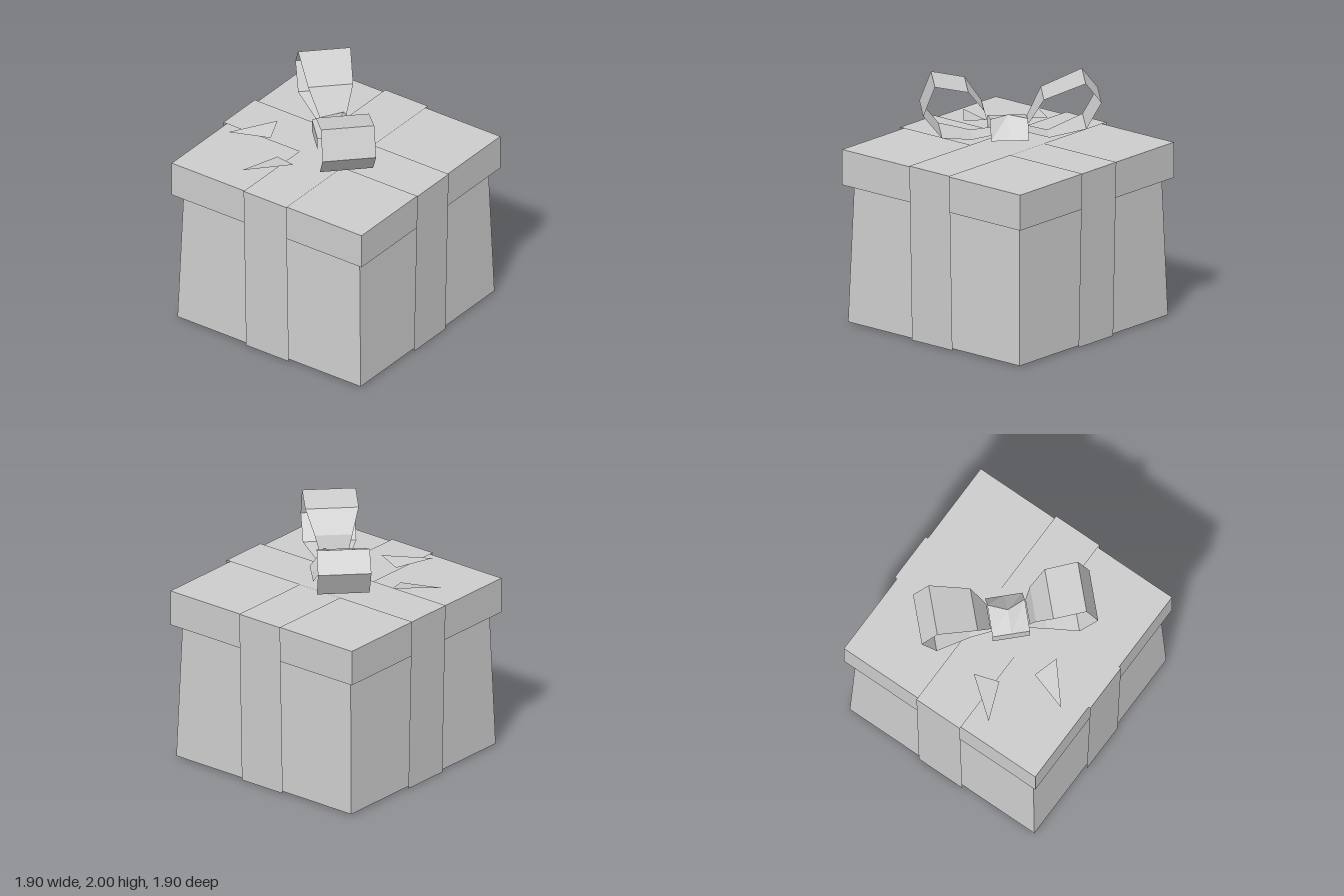
import * as THREE from 'three';

const grey = new THREE.MeshStandardMaterial({ color: 0xcccccc, side: THREE.DoubleSide });
grey.name = 'paper grey';

// Faceted sheet through rows of [x, y, z] points, all rows equally long
function sheet(name, rows) {
  const pos = [];
  for (let i = 0; i < rows.length - 1; i++) {
    for (let j = 0; j < rows[i].length - 1; j++) {
      const a = rows[i][j], b = rows[i][j + 1], c = rows[i + 1][j + 1], d = rows[i + 1][j];
      pos.push(...a, ...b, ...c, ...a, ...c, ...d);
    }
  }
  return facets(name, pos);
}

function facets(name, pos) {
  const geo = new THREE.BufferGeometry();
  geo.setAttribute('position', new THREE.Float32BufferAttribute(pos, 3));
  geo.computeVertexNormals();
  const mesh = new THREE.Mesh(geo, grey);
  mesh.name = name;
  return mesh;
}

// Closed square ring of half-width h at height y
const ring = (h, y) => [[h, y, h], [h, y, -h], [-h, y, -h], [-h, y, h], [h, y, h]];

// Diagonal bow frame: u runs along the bow (+x +z), v across it (+x -z)
const diag = (u, y, v) => [(u + v) * Math.SQRT1_2, y, (u - v) * Math.SQRT1_2];

// Ribbon loop from [u, y, halfWidth] stations
const loop = (name, stations) =>
  sheet(name, stations.map(([u, y, w]) => [diag(u, y, w), diag(u, y, -w)]));

export function createModel() {
  const model = new THREE.Group();
  model.name = 'giftBox';

  // Tapered box, open underneath
  model.add(sheet('body', [ring(0.895, 0.01), ring(0.852, 1.42)]));

  // Lid: a skirt and a flat top, open underneath
  model.add(sheet('lid', [ring(0.928, 1.143), ring(0.928, 1.436), ring(0, 1.436)]));

  // Two crossing ribbons, each draped over the lid and down both sides
  const drape = (top) => [[-0.915, 0.003], [-0.948, top], [0.948, top], [0.915, 0.003]];
  model.add(sheet('ribbonFrontToBack',
    drape(1.445).map(([s, y]) => [[-0.21, y, s], [0.207, y, s]])));
  model.add(sheet('ribbonSideToSide',
    drape(1.45).map(([s, y]) => [[s, y, 0.21], [s, y, -0.21]])));

  // Bow loops
  const bow = new THREE.Group();
  bow.name = 'bow';
  bow.add(loop('frontLoop', [
    [0.13, 1.56, 0.11], [0.29, 1.535, 0.134], [0.537, 1.575, 0.212], [0.686, 1.76, 0.215],
    [0.594, 2.0, 0.213], [0.329, 1.95, 0.212], [0.2, 1.775, 0.15], [0.156, 1.615, 0.106]]));
  bow.add(loop('backLoop', [
    [-0.13, 1.58, 0.1], [-0.32, 1.53, 0.106], [-0.605, 1.625, 0.209], [-0.725, 1.84, 0.212],
    [-0.6, 2.0, 0.21], [-0.272, 1.865, 0.18], [-0.155, 1.65, 0.106]]));

  // Knot: a folded strip across the bow with a pinched ridge
  const knotRows = [[-0.17, 1.54, 0, 0], [-0.17, 1.64, 0, 0], [0.014, 1.7, 0.071, -0.015], [0.195, 1.537, 0, 0]];
  bow.add(sheet('knot', knotRows.map(([v, y, dv, dy]) =>
    [diag(-0.152, y + dy, v + dv), diag(0, y, v), diag(0.148, y + dy, v + dv)])));

  // Ribbon tail tips
  bow.add(facets('leftTail', [-0.25, 1.5, 0.44, -0.355, 1.5, 0.77, -0.05, 1.53, 0.505]));
  bow.add(facets('rightTail', [-0.535, 1.535, 0.05, -0.78, 1.5, 0.37, -0.46, 1.5, 0.245]));
  model.add(bow);

  return model;
}
